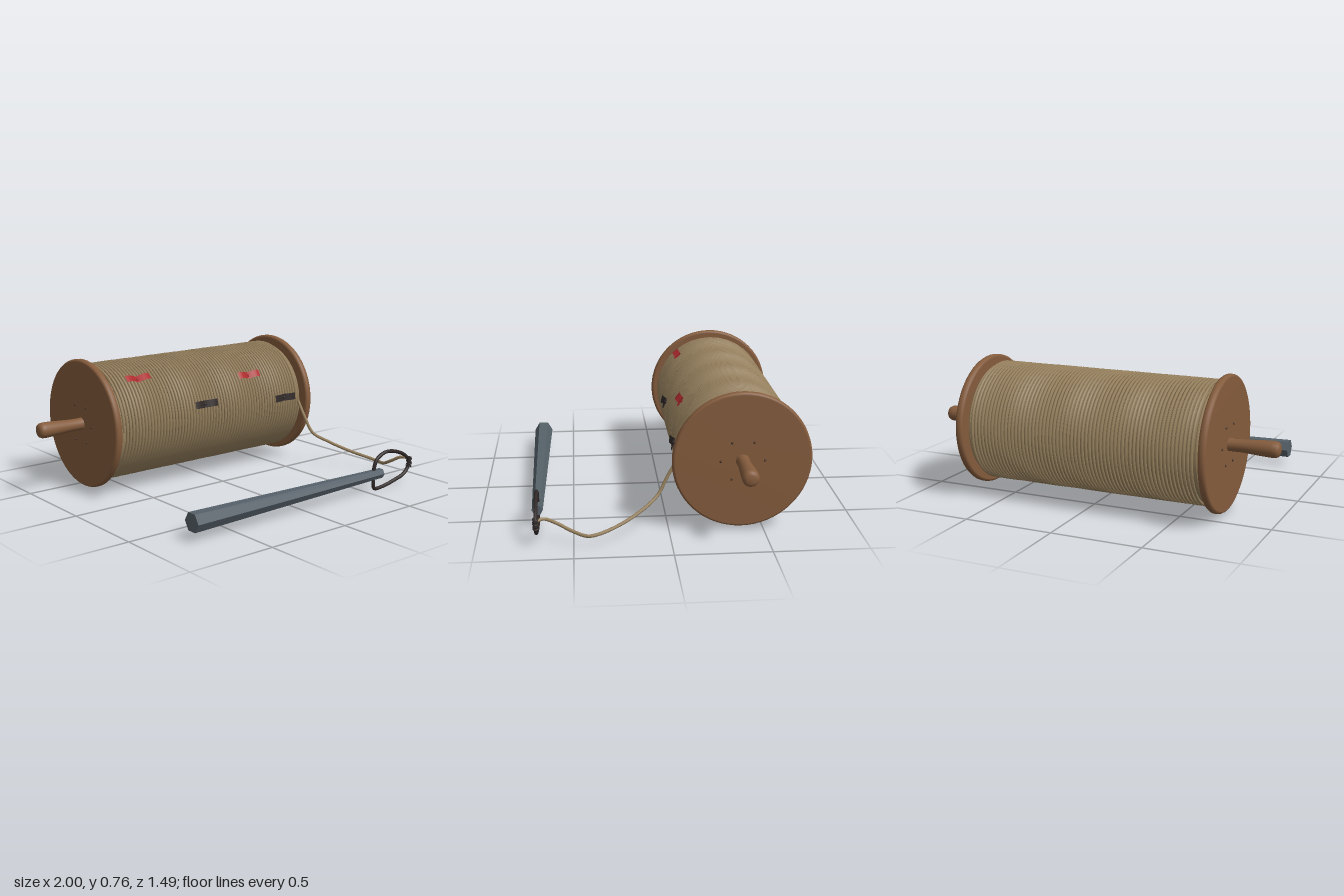
import * as THREE from 'three';

const AXIS_Y = 0.39, AXIS_Z = -0.38;

function material(name, color, extra = {}) {
  const m = new THREE.MeshStandardMaterial({ color, ...extra });
  m.name = name;
  return m;
}

function mesh(name, geometry, mat, parent) {
  const m = new THREE.Mesh(geometry, mat);
  m.name = name;
  parent.add(m);
  return m;
}

// Profile of [radius, x] pairs turned about the x axis
function turned(profile, segments) {
  const points = profile.map(([r, x]) => new THREE.Vector2(r, x));
  return new THREE.LatheGeometry(points, segments).rotateZ(-Math.PI / 2);
}

// Evenly wound line, starting and ending at the front of the reel
class Winding extends THREE.Curve {
  constructor(radius, halfLength, turns) {
    super();
    Object.assign(this, { radius, halfLength, turns });
  }
  getPoint(t, target = new THREE.Vector3()) {
    const a = t * this.turns * Math.PI * 2;
    return target.set((2 * t - 1) * this.halfLength, this.radius * Math.sin(a), this.radius * Math.cos(a));
  }
  getUtoTmapping(u) { return u; }
}

function path(points, closed = false) {
  return new THREE.CatmullRomCurve3(points.map((p) => new THREE.Vector3(...p)), closed);
}

// Cloth strip pinched at its middle, with lifted ends
function stripGeometry() {
  const g = new THREE.PlaneGeometry(0.16, 0.042, 12, 2);
  const p = g.attributes.position;
  for (let i = 0; i < p.count; i++) {
    const t = Math.abs(p.getX(i)) / 0.08;
    p.setZ(i, 0.021 * Math.sin(t * 2.1));
  }
  g.computeVertexNormals();
  return g;
}

export function createModel() {
  const wood = material('wood', 0x855c3d);
  const rope = material('rope', 0x97815e);
  const lead = material('lead', 0x566169, { flatShading: true });
  const leather = material('dark leather', 0x302928, { side: THREE.DoubleSide });
  const red = material('red cloth', 0xac2a2c, { side: THREE.DoubleSide });
  const nail = material('nail', 0x4a3527);

  const model = new THREE.Group();
  model.name = 'soundingLine';
  const reel = new THREE.Group();
  reel.name = 'reel';
  reel.position.set(0, AXIS_Y, AXIS_Z);
  model.add(reel);

  // Axle and the wound line
  mesh('axle', new THREE.CylinderGeometry(0.055, 0.055, 1.38, 24).rotateZ(Math.PI / 2), wood, reel);
  mesh('innerWinding', turned([[0, -0.655], [0.31, -0.655], [0.319, -0.65],
    [0.319, 0.65], [0.31, 0.655], [0, 0.655]], 64), rope, reel);
  for (const s of [-1, 1]) {
    const end = mesh('endTurn', new THREE.TorusGeometry(0.312, 0.009, 6, 64), rope, reel);
    end.rotation.y = Math.PI / 2;
    end.position.x = s * 0.658;
  }
  mesh('winding', new THREE.TubeGeometry(new Winding(0.327, 0.648, 62), 62 * 36, 0.0092, 6), rope, reel);

  // Flange, handle and nails at each end
  const flange = turned([[0, 0.68], [0.352, 0.68], [0.361, 0.684], [0.366, 0.692], [0.367, 0.702],
    [0.366, 0.712], [0.361, 0.72], [0.352, 0.724], [0, 0.724]], 64);
  const handle = turned([[0.037, 0.715], [0.034, 0.74], [0.034, 0.79], [0.038, 0.85], [0.042, 0.91],
    [0.044, 0.955], [0.043, 0.978], [0.036, 0.992], [0.022, 0.999], [0, 1]], 28);
  const nailHead = new THREE.SphereGeometry(0.007, 10, 6);
  for (const s of [-1, 1]) {
    const side = new THREE.Group();
    side.name = s > 0 ? 'leftEnd' : 'rightEnd';
    side.rotation.y = s > 0 ? 0 : Math.PI;
    reel.add(side);
    mesh('flange', flange, wood, side);
    mesh('handle', handle, wood, side);
    for (let i = 0; i < 6; i++) {
      const a = i * Math.PI / 3;
      mesh('nail', nailHead, nail, side).position.set(0.724, 0.115 * Math.sin(a), 0.115 * Math.cos(a));
    }
  }

  // Depth marks tied along the line: x, angle above the front, cloth
  const strip = stripGeometry();
  const marks = [[-0.485, 0.87, red], [0.275, 0.62, red], [-0.09, 0.245, leather], [0.515, 0.12, leather]];
  for (const [x, angle, cloth] of marks) {
    const mark = new THREE.Group();
    mark.name = 'depthMark';
    mark.position.x = x;
    mark.rotation.x = -angle;
    reel.add(mark);
    mesh('clothStrip', strip, cloth, mark).position.z = 0.338;
    const tie = mesh('clothKnot', new THREE.SphereGeometry(0.009, 10, 8), cloth, mark);
    tie.position.z = 0.339;
  }

  // Loose line from the reel to the loop
  const loose = path([[0.645, 0.39, -0.052], [0.648, 0.35, -0.03], [0.653, 0.29, 0.005], [0.675, 0.2, 0.055],
    [0.735, 0.15, 0.13], [0.81, 0.1, 0.25], [0.865, 0.07, 0.37], [0.87, 0.063, 0.43],
    [0.83, 0.078, 0.51], [0.808, 0.11, 0.58], [0.828, 0.147, 0.65], [0.848, 0.14, 0.69]]);
  mesh('looseLine', new THREE.TubeGeometry(loose, 96, 0.009, 8), rope, model);

  // Tapered six-sided weight
  const weight = mesh('leadWeight',
    new THREE.CylinderGeometry(0.029, 0.055, 1.36, 6).rotateZ(-Math.PI / 2), lead, model);
  weight.position.set(-0.075, 0.1, 0.69);

  // Leather loop passing through the weight
  const Z = 0.69;
  const loop = path([[0.545, 0.13, Z], [0.568, 0.185, Z], [0.635, 0.217, Z], [0.72, 0.208, Z],
    [0.81, 0.168, Z], [0.848, 0.125, Z], [0.81, 0.065, Z], [0.72, 0.035, Z],
    [0.61, 0.015, Z], [0.553, 0.018, Z], [0.543, 0.07, Z]], true);
  mesh('loop', new THREE.TubeGeometry(loop, 80, 0.0105, 8, true), leather, model);

  // Whipping where the line is made fast
  for (let i = 0; i < 5; i++) {
    const turn = mesh('whipping', new THREE.TorusGeometry(0.012, 0.005, 6, 14), leather, model);
    turn.position.set(0.843 + 0.004 * (i % 2), 0.1 + i * 0.013, Z);
    turn.rotation.x = Math.PI / 2;
    turn.rotation.y = i % 2 ? 0.25 : -0.25;
  }

  return model;
}
